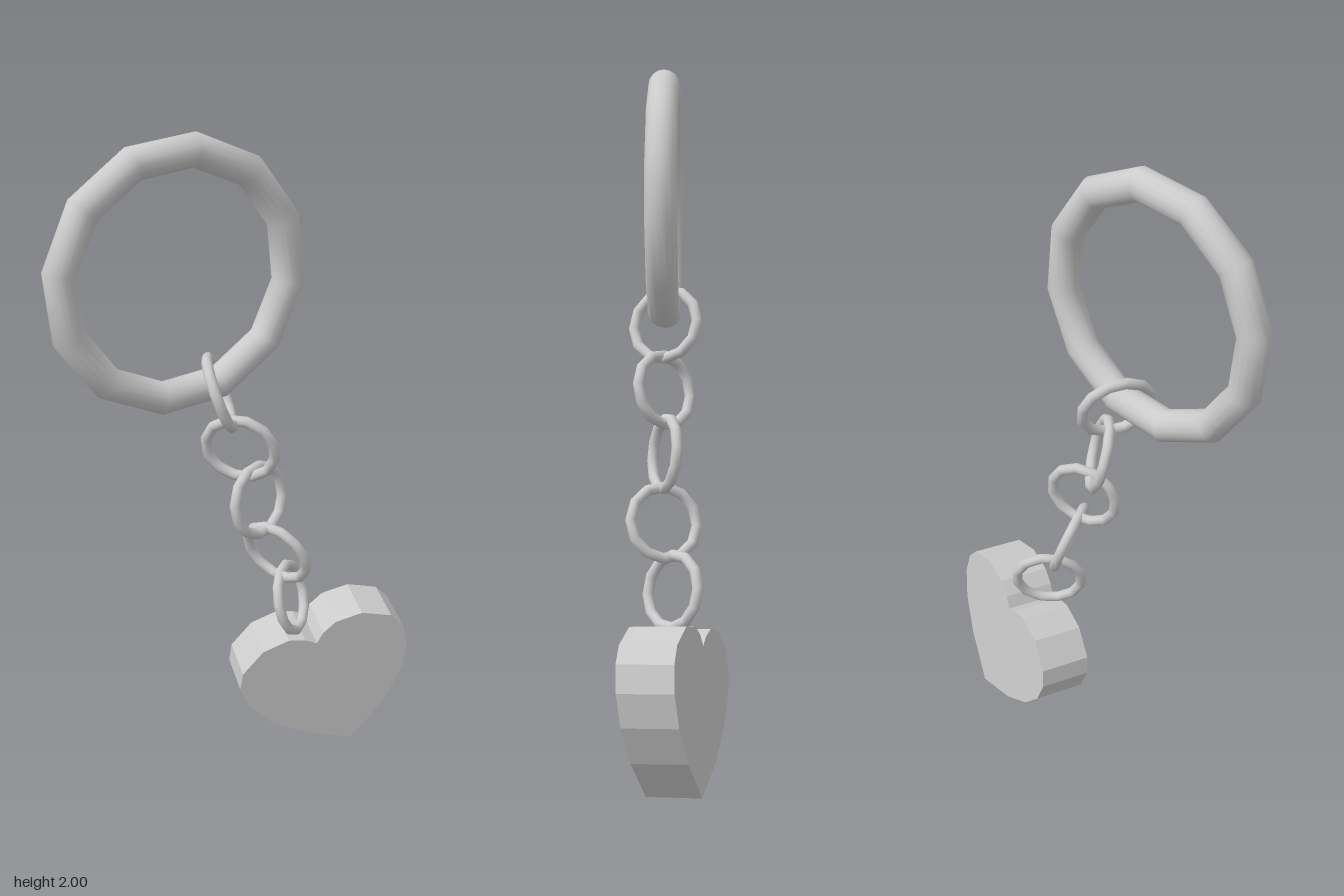
import * as THREE from 'three';

const metal = new THREE.MeshStandardMaterial({ color: 0xcccccc });
const flat = new THREE.MeshStandardMaterial({ color: 0xcccccc, flatShading: true });

function torus(name, radius, tube, sides) {
  const mesh = new THREE.Mesh(new THREE.TorusGeometry(radius, tube, sides, 12), metal);
  mesh.name = name;
  return mesh;
}

// Heart outline, mirrored about its own axis, tip at the origin
function heartGeometry(depth) {
  const half = [[0.137, 0.094], [0.224, 0.188], [0.268, 0.277], [0.273, 0.353],
    [0.248, 0.405], [0.164, 0.457], [0.078, 0.462], [0.03, 0.44]];
  const mirrored = half.map(([x, y]) => [-x, y]).reverse();
  const outline = [[0, 0], ...half, [0, 0.412], ...mirrored];
  const shape = new THREE.Shape(outline.map(([x, y]) => new THREE.Vector2(x, y)));
  return new THREE.ExtrudeGeometry(shape, { depth, bevelEnabled: false });
}

export function createModel() {
  const model = new THREE.Group();
  model.name = 'keychain';

  // Large key ring with twelve straight segments
  const ring = torus('keyRing', 0.339, 0.046, 16);
  ring.position.set(-0.2, 1.62, 0.045);
  ring.rotation.z = THREE.MathUtils.degToRad(-9);
  model.add(ring);

  // Chain: each link is turned about the slanting chain direction
  const chain = new THREE.Group();
  chain.name = 'chain';
  const along = new THREE.Vector3(-0.38, 0.92, 0).normalize();
  const across = new THREE.Vector3(0.92, 0.38, 0).normalize();
  const links = [
    [-0.075, 1.267, 0.04, 25],
    [-0.01, 1.083, 0.04, -45],
    [0.053, 0.906, 0.038, 68],
    [0.115, 0.718, 0.038, -25],
    [0.182, 0.535, 0.012, 45],
  ];
  links.forEach(([x, y, z, turn], i) => {
    const link = torus(`chainLink${i + 1}`, 0.103, 0.016, 10);
    const t = THREE.MathUtils.degToRad(turn);
    const normal = across.clone().multiplyScalar(Math.cos(t));
    normal.z = Math.sin(t);
    const side = new THREE.Vector3().crossVectors(along, normal);
    link.quaternion.setFromRotationMatrix(new THREE.Matrix4().makeBasis(side, along, normal));
    link.position.set(x, y, z);
    chain.add(link);
  });
  model.add(chain);

  // Heart pendant, leaning with the chain and turned slightly
  const depth = 0.162;
  const heart = new THREE.Mesh(heartGeometry(depth), flat);
  heart.name = 'heartPendant';
  const up = new THREE.Vector3(-0.334, 0.942, 0).normalize();
  const right = new THREE.Vector3(0.904, 0.321, 0.266).normalize();
  const front = new THREE.Vector3().crossVectors(right, up).normalize();
  right.crossVectors(up, front);
  heart.quaternion.setFromRotationMatrix(new THREE.Matrix4().makeBasis(right, up, front));
  heart.position.set(0.375, 0.003, 0.08).addScaledVector(front, -depth);
  model.add(heart);

  return model;
}
